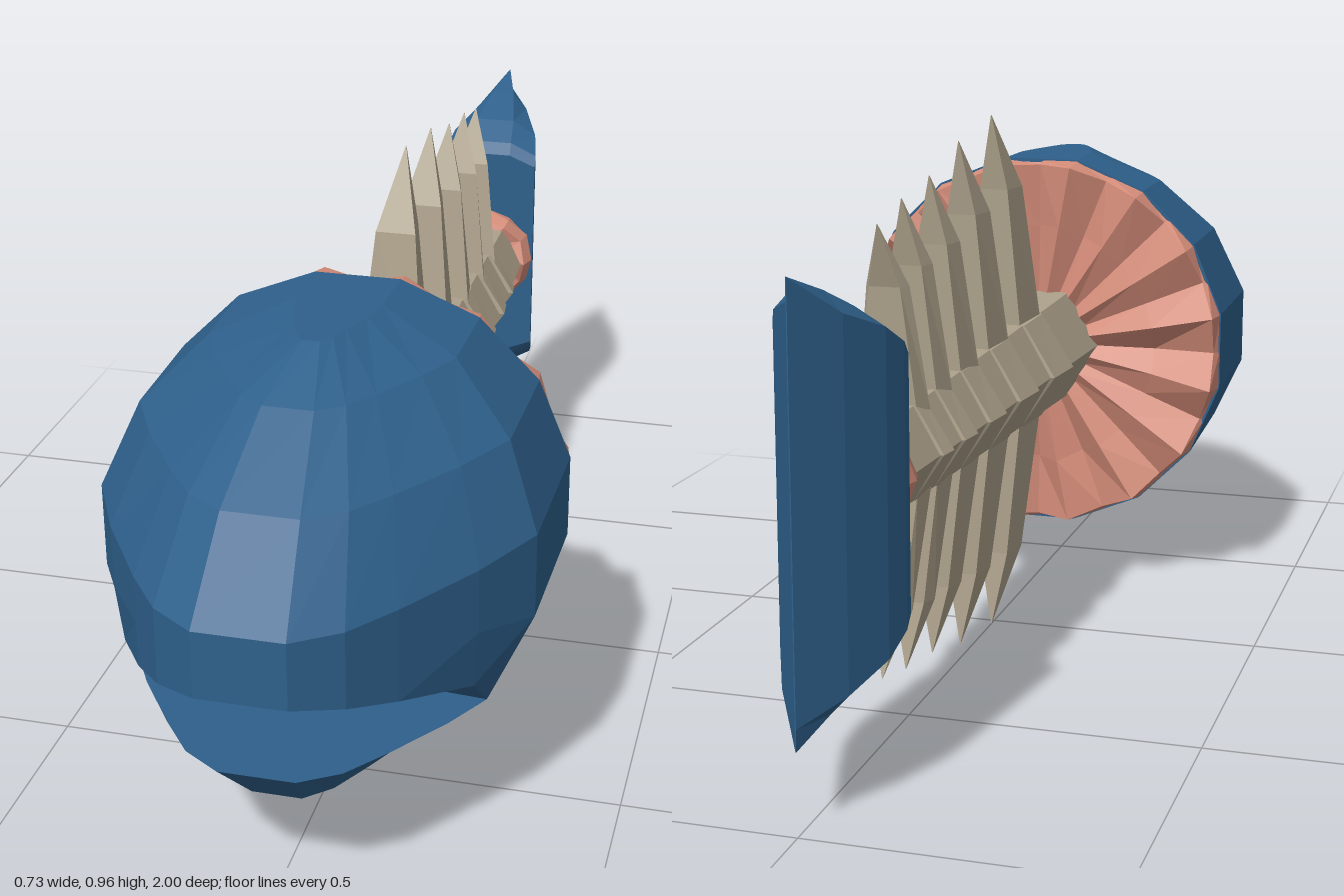
import * as THREE from 'three';

const CY = 0.486; // height of the body axis

// Closed skin through equal-length rings of [x, y, z], capped at both ends, faces outward
function loft(rings) {
  const n = rings[0].length, pos = rings.flat(), idx = [];
  for (let i = 0; i < rings.length - 1; i++)
    for (let j = 0; j < n; j++) {
      const k = (j + 1) % n, a = i * n + j, b = i * n + k;
      idx.push([a, b, b + n], [a, b + n, a + n]);
    }
  const cap = (ring, start, flip) => {
    const c = [0, 1, 2].map(q => ring.reduce((s, p) => s + p[q], 0) / n);
    pos.push(c);
    const m = pos.length - 1;
    for (let j = 0; j < n; j++) {
      const a = start + j, b = start + (j + 1) % n;
      idx.push(flip ? [m, b, a] : [m, a, b]);
    }
  };
  cap(rings[0], 0, true);
  cap(rings[rings.length - 1], (rings.length - 1) * n, false);
  const v = pos.map(p => new THREE.Vector3(...p));
  const volume = idx.reduce((s, [a, b, c]) => s + v[a].dot(v[b].clone().cross(v[c])), 0);
  const geo = new THREE.BufferGeometry().setFromPoints(v);
  geo.setIndex((volume < 0 ? idx.map(([a, b, c]) => [a, c, b]) : idx).flat());
  const flat = geo.toNonIndexed(); // separate corners give flat facets
  flat.computeVertexNormals();
  return flat;
}

// Mirror a half ring across x = 0
const mirrorRing = half => [...half, ...half.slice().reverse().map(([x, y, z]) => [-x, y, z])];

function seeded(seed) {
  return () => (seed = (seed * 16807) % 2147483647) / 2147483647;
}

export function createModel() {
  const blue = new THREE.MeshStandardMaterial({ color: 0x2e608b });
  const bone = new THREE.MeshStandardMaterial({ color: 0xada18b });
  const flesh = new THREE.MeshStandardMaterial({ color: 0xd48c79 });
  const model = new THREE.Group();
  const add = (name, geo, mat, parent = model) => {
    const mesh = new THREE.Mesh(geo, mat);
    mesh.name = name;
    parent.add(mesh);
    return mesh;
  };

  // Head: horizontal rings that shrink toward crown and chin
  const plan = [[0.072, 1], [0.145, 0.95], [0.205, 0.87], [0.295, 0.73], [0.36, 0.6], [0.365, 0.32]];
  const headRing = (y, w, front) => mirrorRing(plan.map(([x, z]) =>
    [x * w / 0.365, y, 0.32 + (z - 0.32) * (front - 0.32) / 0.68]));
  const lip = mirrorRing([[0.072, 0.447, 1], [0.145, 0.43, 0.95], [0.205, 0.402, 0.87],
    [0.287, 0.348, 0.72], [0.295, 0.28, 0.65], [0.309, 0.28, 0.32]]);
  const cheek = mirrorRing([[0.072, 0.5, 1], [0.145, 0.49, 0.95], [0.205, 0.48, 0.87],
    [0.295, 0.45, 0.73], [0.36, 0.414, 0.6], [0.365, 0.414, 0.32]]);
  add('upperHead', loft([lip, cheek, headRing(0.56, 0.365, 1), headRing(0.695, 0.309, 0.88),
    headRing(0.797, 0.207, 0.73), headRing(0.852, 0.073, 0.6)]), blue);
  const jawTop = mirrorRing([[0.062, 0.28, 0.94], [0.125, 0.28, 0.9], [0.18, 0.28, 0.83],
    [0.25, 0.28, 0.73], [0.295, 0.28, 0.65], [0.309, 0.28, 0.32]]);
  add('lowerJaw', loft([jawTop, headRing(0.178, 0.207, 0.84), headRing(0.122, 0.073, 0.64)]), blue);

  // Flesh at the cuts: pleated rings with jagged crests
  const random = seeded(41);
  const pleats = (n, rows) => loft(rows.map(([r, crest, valley, jitter]) =>
    Array.from({ length: n }, (_, j) => {
      const a = (j + 0.5 * (n === 32)) * Math.PI * 2 / n + (n === 32 ? Math.PI / 32 : 0);
      const odd = j % 2;
      const rr = r * (n === 32 && odd ? Math.cos(Math.PI / 16) : 1);
      return [Math.cos(a) * rr, CY + Math.sin(a) * rr, (odd ? valley : crest) + (random() - 0.5) * jitter];
    })));
  add('neckFlesh', pleats(32, [[0.371, 0.325, 0.325, 0], [0.362, 0.275, 0.308, 0.015],
    [0.24, 0.283, 0.315, 0.015], [0.1, 0.295, 0.31, 0]]), flesh);
  add('tailFlesh', pleats(12, [[0.095, -0.785, -0.785, 0], [0.102, -0.75, -0.765, 0.01],
    [0.092, -0.715, -0.735, 0.01], [0.05, -0.715, -0.715, 0]]), flesh);

  // Ribs: [front of base, back of base, tip z, tip height above the axis]
  const ribs = [[0.105, 0, -0.02, 0.482], [-0.107, -0.198, -0.215, 0.455], [-0.29, -0.36, -0.375, 0.415],
    [-0.44, -0.49, -0.515, 0.395], [-0.555, -0.592, -0.63, 0.37]];

  // Backbone: six-sided, tapering, a little wider at each rib
  const radius = z => 0.12 - (0.3 - z) * 0.034;
  const hexagon = (z, side) => Array.from({ length: 6 }, (_, j) => {
    const a = j * Math.PI / 3, r = radius(z);
    return [Math.cos(a) * r * side, CY + Math.sin(a) * r, z];
  });
  const sections = [hexagon(0.33, 1)];
  for (const [front, back] of ribs)
    sections.push(hexagon(front + 0.004, 1), hexagon(front, 1.1), hexagon(back, 1.06), hexagon(back - 0.004, 1));
  sections.push(hexagon(-0.76, 1));
  add('backbone', loft(sections), bone);

  // Rib spikes above, and the same turned over below
  for (const side of [0, 1]) {
    const row = new THREE.Group();
    row.name = side ? 'lowerRibs' : 'upperRibs';
    row.position.y = CY;
    row.rotation.z = side * Math.PI;
    model.add(row);
    for (const [front, back, tipZ, tipY] of ribs) {
      const base = radius(front) * 0.82;
      const slab = (y, hf, hb, zf, zb) => [[hf, y, zf], [-hf, y, zf], [-hb, y, zb], [hb, y, zb]];
      const midY = base + (tipY - base) * 0.65;
      add('rib', loft([
        slab(base - 0.01, 0.06, 0.05, front, back),
        slab(midY, 0.036, 0.026, front + (tipZ - front) * 0.36, back + (tipZ - back) * 0.2),
        slab(tipY, 0.0005, 0.0005, tipZ + 0.001, tipZ),
      ]), bone, row);
    }
  }

  // Tail fin: upright blade, blunt in front and sharp at the rear
  const fin = [[-0.775, 0.1, 0.225], [-0.79, 0.099, 0.248], [-0.84, 0.088, 0.282],
    [-0.92, 0.053, 0.318], [-1, 0.001, 0.349]];
  add('tailFin', loft(fin.map(([z, w, h]) => mirrorRing([[w * 0.45, CY + h, z], [w, CY + h * 0.9, z],
    [w, CY - h * 0.9, z], [w * 0.45, CY - h, z]]))), blue);

  return model;
}
